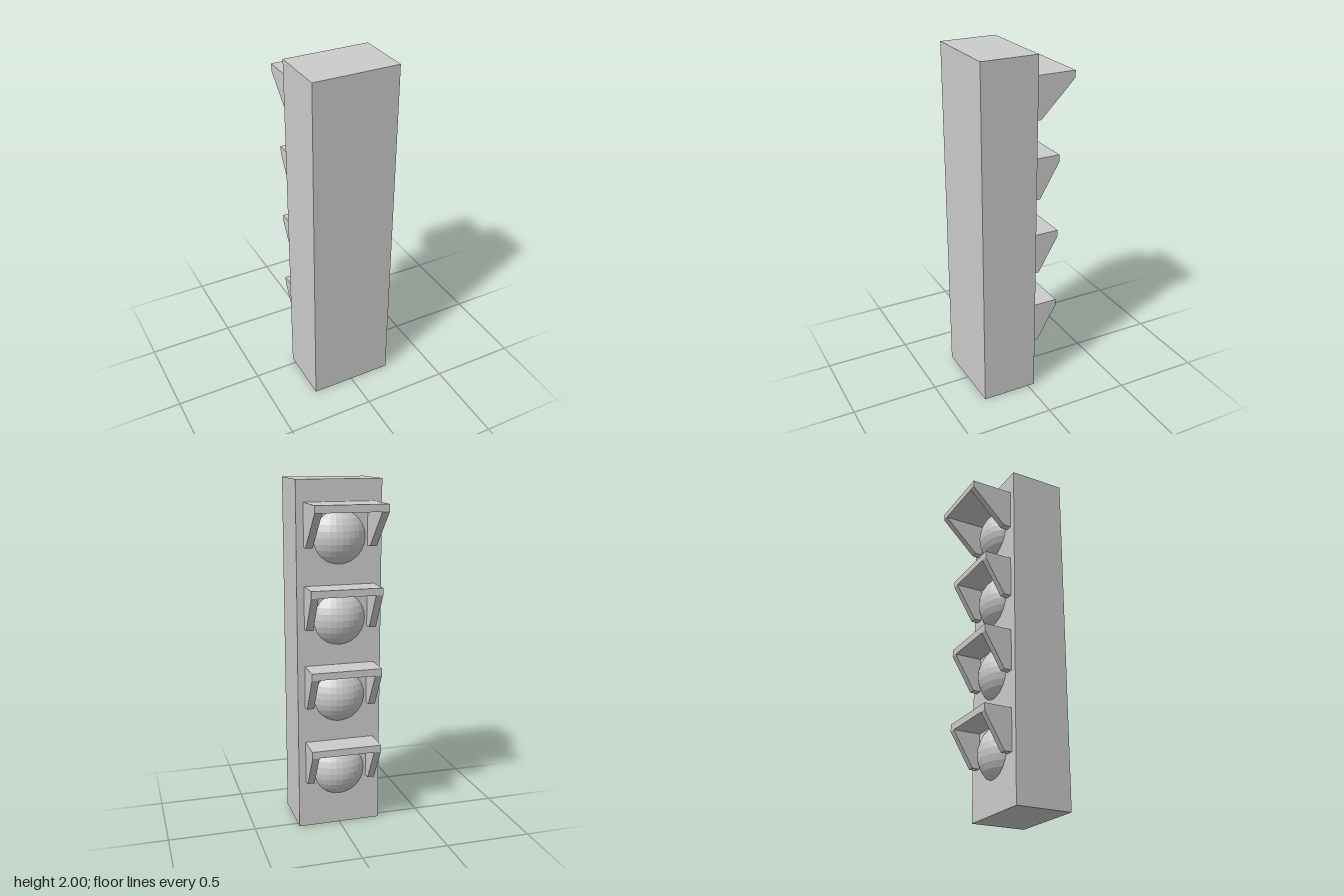
import * as THREE from 'three';

const WIDTH = 0.484, HEIGHT = 2, FRONT = 0.283, BACK = -0.041;
const VISOR_W = 0.402, VISOR_H = 0.24, WALL = 0.04;
const LENS_R = 0.183, LENS_DEPTH = 0.076;

const material = new THREE.MeshStandardMaterial({ color: 0xcccccc, flatShading: true });

function part(name, geometry, x, y, z) {
  const mesh = new THREE.Mesh(geometry, material);
  mesh.name = name;
  mesh.position.set(x, y, z);
  return mesh;
}

// Tapered cheek of a visor: profile in depth/height, extruded across x
function cheekGeometry(depth) {
  const shape = new THREE.Shape([
    [0, -VISOR_H], [0.043, -VISOR_H], [depth, -WALL], [depth, 0], [0, 0],
  ].map(([d, y]) => new THREE.Vector2(d, y)));
  const geometry = new THREE.ExtrudeGeometry(shape, { depth: WALL, bevelEnabled: false });
  return geometry.rotateY(Math.PI / 2).translate(-WALL / 2, 0, 0);
}

// One lamp: a domed lens under a hood with two cheeks; origin at the hood's top edge
function createLamp(depth) {
  const lamp = new THREE.Group();
  const cheek = cheekGeometry(depth);
  const cheekX = (VISOR_W - WALL) / 2;
  lamp.add(part('leftVisorCheek', cheek, cheekX, 0, 0));
  lamp.add(part('rightVisorCheek', cheek, -cheekX, 0, 0));
  lamp.add(part('visorRoof',
    new THREE.BoxGeometry(VISOR_W - 2 * WALL, WALL, depth), 0, -WALL / 2, -depth / 2));
  lamp.add(part('lens',
    new THREE.SphereGeometry(LENS_R, 32, 16), 0, -0.19, LENS_R - LENS_DEPTH));
  return lamp;
}

export function createModel() {
  const model = new THREE.Group();
  model.name = 'signalLight';

  // Housing
  model.add(part('housing', new THREE.BoxGeometry(WIDTH, HEIGHT, FRONT - BACK),
    0, HEIGHT / 2, (FRONT + BACK) / 2));

  // Four lamps down the back; the top one has a longer hood
  for (let i = 0; i < 4; i++) {
    const lamp = createLamp(i === 0 ? 0.243 : 0.16);
    lamp.name = `lamp${i + 1}`;
    lamp.position.set(0, 1.88 - i * 0.4525, BACK);
    model.add(lamp);
  }
  return model;
}
